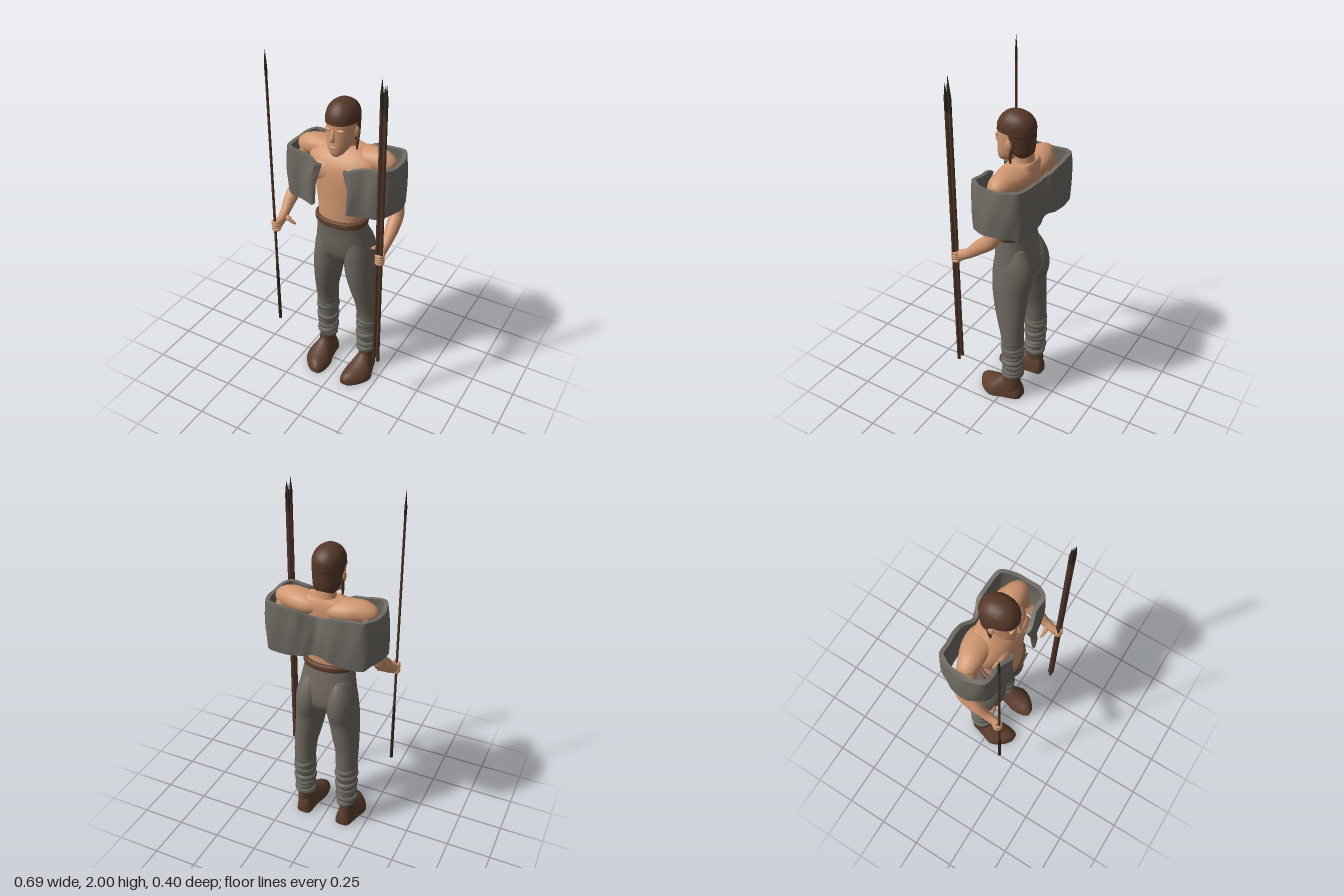
import * as THREE from 'three';
import { toCreasedNormals } from 'three/addons/utils/BufferGeometryUtils.js';

const mat = (name, color) => Object.assign(new THREE.MeshStandardMaterial({ color }), { name });

// Catmull-Rom interpolation of every column of a table of rows
function smooth(rows, k = 4) {
  const out = [];
  const at = i => rows[Math.min(Math.max(i, 0), rows.length - 1)];
  for (let i = 0; i < rows.length - 1; i++) {
    for (let j = 0; j < k; j++) {
      const t = j / k;
      out.push(at(i).map((b, n) => {
        const a = at(i - 1)[n], c = at(i + 1)[n], d = at(i + 2)[n];
        return b + 0.5 * t * (c - a + t * (2 * a - 5 * b + 4 * c - d + t * (3 * (b - c) + d - a)));
      }));
    }
  }
  out.push(rows[rows.length - 1]);
  return out;
}

// Skin a list of closed rings (arrays of Vector3) and cap both ends
function loft(rings) {
  const n = rings[0].length, pos = [], idx = [];
  rings.forEach(r => r.forEach(p => pos.push(p.x, p.y, p.z)));
  for (let i = 0; i < rings.length - 1; i++) {
    for (let j = 0; j < n; j++) {
      const a = i * n + j, b = i * n + (j + 1) % n;
      idx.push(a, b, a + n, b, b + n, a + n);
    }
  }
  [0, rings.length - 1].forEach((r, end) => {
    const c = new THREE.Vector3();
    rings[r].forEach(p => c.addScaledVector(p, 1 / n));
    const ci = pos.length / 3;
    pos.push(c.x, c.y, c.z);
    for (let j = 0; j < n; j++) {
      const a = r * n + j, b = r * n + (j + 1) % n;
      if (end) idx.push(ci, a, b); else idx.push(ci, b, a);
    }
  });
  const g = new THREE.BufferGeometry();
  g.setAttribute('position', new THREE.Float32BufferAttribute(pos, 3));
  g.setIndex(idx);
  g.computeVertexNormals();
  return g;
}

const circle = (n, f) => Array.from({ length: n }, (_, j) => {
  const a = j / n * Math.PI * 2;
  return f(Math.cos(a), Math.sin(a));
});
const soft = (v, p) => Math.sign(v) * Math.abs(v) ** p;

// Horizontal sections from the bottom up, rows of [y, half width, front z, back z]
const stack = (rows, p = 1, n = 28) => loft(smooth(rows).map(([y, w, f, b]) =>
  circle(n, (c, s) => new THREE.Vector3(w * soft(c, p), y, (f + b) / 2 - (f - b) / 2 * soft(s, p)))));

// Sections square to a path, rows of [x, y, z, radius a, radius b]
function limb(rows, n = 16) {
  const r = smooth(rows), pts = r.map(q => new THREE.Vector3(q[0], q[1], q[2]));
  return loft(r.map((q, i) => {
    const d = pts[Math.min(i + 1, r.length - 1)].clone().sub(pts[Math.max(i - 1, 0)]).normalize();
    const ref = Math.abs(d.x) > 0.8 ? new THREE.Vector3(0, 0, 1) : new THREE.Vector3(1, 0, 0);
    const v = d.clone().cross(ref).normalize(), u = v.clone().cross(d);
    return circle(n, (c, s) => pts[i].clone().addScaledVector(u, c * q[3]).addScaledVector(v, s * q[4]));
  }));
}

export function createModel() {
  const model = new THREE.Group();
  const skin = mat('skin', 0xd09670), hair = mat('hair', 0x563828), trouser = mat('trouser cloth', 0x6e675f);
  const cloak = mat('shawl cloth', 0x6e6a63), binding = mat('leg binding cloth', 0x6e6b63);
  const boot = mat('boot leather', 0x5c3e2d), belt = mat('belt leather', 0x62402d);
  const wood = mat('spear wood', 0x503528), dark = mat('spear dark', 0x31271f);
  const add = (name, geo, m, x = 0, y = 0, z = 0) => {
    const mesh = new THREE.Mesh(geo, m);
    mesh.name = name;
    mesh.position.set(x, y, z);
    model.add(mesh);
    return mesh;
  };
  const ball = (name, m, x, y, z, a, b, c) =>
    add(name, new THREE.SphereGeometry(1, 20, 14), m, x, y, z).scale.set(a, b, c);

  // Torso, neck and head
  add('torso', stack([[1.03, .13, .1, -.09], [1.1, .127, .105, -.085], [1.2, .138, .102, -.095], [1.3, .165, .1, -.115],
    [1.38, .195, .092, -.122], [1.43, .19, .068, -.122], [1.465, .15, .03, -.115], [1.487, .09, 0, -.105]], 0.9), skin);
  add('neck', stack([[1.43, .09, .03, -.12], [1.47, .064, .005, -.108], [1.5, .056, -.002, -.1], [1.56, .055, .01, -.09]]), skin);
  add('head', stack([[1.465, .018, .085, .055], [1.48, .038, .096, .01], [1.51, .057, .1, -.04], [1.55, .069, .099, -.08],
    [1.6, .076, .096, -.098], [1.65, .078, .094, -.102], [1.69, .072, .08, -.095], [1.73, .04, .045, -.05]], 0.93), skin);
  add('nose', limb([[0, 1.615, .092, .007, .006], [0, 1.57, .107, .011, .012], [0, 1.552, .097, .011, .006]], 10), skin);
  ball('lips', skin, 0, 1.52, .096, .022, .008, .008);

  // Hair cap, held behind the ears below the hairline
  const cap = stack([[1.515, .053, -.02, -.09], [1.54, .07, .02, -.1], [1.6, .08, .08, -.107], [1.637, .083, .099, -.109],
    [1.643, .083, .099, -.109], [1.68, .081, .094, -.108], [1.715, .066, .072, -.087], [1.738, .038, .042, -.052],
    [1.746, .012, .01, -.02]], 0.95, 32);
  const cp = cap.attributes.position;
  for (let i = 0; i < cp.count; i++) if (cp.getY(i) < 1.637) cp.setZ(i, Math.min(cp.getZ(i), -.005));
  cap.computeVertexNormals();
  add('hair', toCreasedNormals(cap, 0.8), hair);

  for (const s of [1, -1]) {
    const side = s > 0 ? 'left' : 'right';
    // Face details and braids
    ball(side + 'Ear', skin, s * .081, 1.585, -.004, .008, .03, .017);
    ball(side + 'Brow', skin, s * .032, 1.612, .085, .024, .009, .012);
    add(side + 'Braid', limb([[s * .077, 1.58, -.025, .007, .007], [s * .078, 1.54, -.015, .009, .009],
      [s * .076, 1.51, -.012, .008, .008], [s * .075, 1.475, -.012, .003, .003]], 8), hair);

    // Shoulders, chest and arms
    add(side + 'Shoulder', limb([[s * .02, 1.42, -.055, .055, .045], [s * .08, 1.428, -.06, .075, .055],
      [s * .14, 1.432, -.055, .076, .06], [s * .195, 1.432, -.046, .066, .061], [s * .24, 1.425, -.042, .054, .052],
      [s * .268, 1.415, -.042, .034, .034], [s * .278, 1.41, -.042, .008, .008]], 20), skin);
    ball(side + 'Chest', skin, s * .08, 1.355, .06, .085, .06, .037);
    add(side + 'Arm', limb([[s * .222, 1.43, -.045, .045, .055], [s * .25, 1.32, -.045, .047, .056],
      [s * .285, 1.21, -.047, .043, .047], [s * .302, 1.155, -.03, .039, .043], [s * .309, 1.1, .035, .035, .037],
      [s * .308, 1.05, .09, .026, .028], [s * .306, 1.025, .13, .024, .028], [s * .308, 1.008, .165, .022, .032]]), skin);
    add(side + 'Thumb', limb([[s * .305, 1.03, .108, .016, .018], [s * .27, 1.025, .117, .013, .014],
      [s * .25, 1.012, .115, .01, .01], [s * .232, 1.0, .11, .005, .005]], 10), skin);
    for (let i = 0; i < 4; i++) {
      const finger = add(side + 'Finger', new THREE.TorusGeometry(.017, .009, 8, 16), skin, s * .314, .982 + i * .015, .175);
      finger.rotation.set(Math.PI / 2, .1 * (i % 2), 0);
    }

    // Trouser legs
    add(side + 'Leg', limb([[s * .08, .98, -.01, .06, .085], [s * .086, .9, -.028, .079, .112], [s * .092, .83, -.034, .083, .119],
      [s * .1, .74, -.026, .083, .107], [s * .115, .62, -.034, .074, .093], [s * .127, .53, -.044, .065, .078],
      [s * .131, .43, -.055, .062, .066], [s * .132, .3, -.056, .057, .06], [s * .135, .15, -.056, .042, .048]], 24), trouser);

    // Wound cloth strips on the shins
    for (let i = 0; i < 8; i++) {
      const r = 1.02 + i * .011 + .06 * Math.sin(i * 2.4 + s);
      const strip = add(side + 'LegBinding', new THREE.TorusGeometry(.047, .014, 8, 22), binding, s * .132, .165 + i * .034, -.057);
      strip.rotation.set(Math.PI / 2 + .22 * Math.sin(i * 1.9 + s), .26 * Math.sin(i * 2.7 + s), 0);
      strip.scale.set(r, r * 1.04, 1.5);
    }

    // Boots: shaft, then a flat-soled foot
    add(side + 'BootShaft', stack([[.02, .045, .02, -.1], [.06, .045, .02, -.107], [.1, .043, .012, -.108], [.17, .042, -.005, -.102]])
      .translate(s * .136, 0, 0), boot);
    const foot = smooth([[-.116, .126, .024, .045], [-.1, .127, .044, .09], [-.05, .132, .054, .125], [0, .136, .065, .118],
      [.045, .136, .08, .09], [.09, .128, .075, .068], [.14, .113, .052, .05], [.168, .1, .022, .025]]);
    add(side + 'Boot', toCreasedNormals(loft(foot.map(([z, x, w, h]) => circle(24, (c, sn) =>
      new THREE.Vector3(s * x + w * c, sn > 0 ? .012 + h * sn ** 1.3 : .002 * (1 + sn), z)))), 0.9), boot);
  }

  // Seat of the trousers and belt
  add('trouserSeat', stack([[.755, .04, .01, -.06], [.79, .1, .045, -.105], [.85, .163, .077, -.135],
    [.92, .163, .09, -.13], [1, .149, .096, -.11], [1.075, .137, .107, -.092]], 0.95), trouser);
  add('belt', stack([[1.052, .138, .108, -.095], [1.057, .147, .117, -.102], [1.075, .15, .12, -.105], [1.088, .147, .117, -.102],
    [1.093, .134, .105, -.09]], 0.92), belt);
  add('beltOverlap', new THREE.BoxGeometry(.09, .016, .008), belt, .045, 1.074, .115).rotation.set(0, .1, .15);

  // Shawl: [x, z, y] of the top edge then of the bottom edge, front opening to mid back
  const half = [[.06, .112, 1.41, .09, .135, 1.19], [.1, .122, 1.42, .11, .145, 1.18], [.17, .098, 1.44, .18, .11, 1.175],
    [.25, .1, 1.45, .25, .1, 1.175], [.293, .065, 1.45, .3, .06, 1.19], [.308, 0, 1.44, .333, -.01, 1.2],
    [.308, -.08, 1.44, .325, -.08, 1.2], [.29, -.15, 1.45, .29, -.15, 1.19], [.255, -.187, 1.45, .26, -.185, 1.175],
    [.18, -.192, 1.445, .18, -.19, 1.17], [.1, -.195, 1.44, .1, -.192, 1.18], [.05, -.18, 1.42, .05, -.185, 1.19],
    [0, -.16, 1.405, 0, -.178, 1.2]];
  const path = smooth([...half, ...half.slice(0, -1).reverse().map(([a, b, c, d, e, f]) => [-a, b, c, -d, e, f])]);
  const levels = [0, .1, .3, .5, .7, .9, 1];
  const shawl = path.map((q, i) => {
    const a = path[Math.max(i - 1, 0)], b = path[Math.min(i + 1, path.length - 1)];
    const edge = Math.min(i, path.length - 1 - i) < 4 ? .03 : 0;
    const point = (v, inner) => {
      const tx = (b[0] - a[0]) * (1 - v) + (b[3] - a[3]) * v, tz = (b[1] - a[1]) * (1 - v) + (b[4] - a[4]) * v;
      const len = Math.hypot(tx, tz), bulge = Math.sin(Math.PI * v);
      const off = .008 * bulge + .0015 * Math.sin(i * 1.1 + v * 5) - (inner ? .022 : 0);
      const x = q[0] + (q[3] - q[0]) * v;
      return new THREE.Vector3(x + Math.sign(x) * edge * bulge - tz / len * off, q[2] + (q[5] - q[2]) * v,
        q[1] + (q[4] - q[1]) * v + tx / len * off);
    };
    return [...levels.map(v => point(v, false)), ...[...levels].reverse().map(v => point(v, true))];
  });
  add('shawl', toCreasedNormals(loft(shawl), 0.9), cloak);

  // Spears: one in the right hand, three in the left
  const rod = (name, m, x, z, y0, y1, r0, r1) =>
    add(name, new THREE.CylinderGeometry(r1, r0, y1 - y0, 8), m, x, (y0 + y1) / 2, z);
  rod('spearShaft', wood, -.314, .187, .7, 1.86, .0075, .0065);
  rod('spearGrip', dark, -.314, .187, .36, .73, .0095, .0085);
  rod('spearHead', dark, -.314, .187, 1.86, 1.91, .0065, .0075);
  rod('spearPoint', dark, -.314, .187, 1.91, 2, .0075, .0008);
  [[.302, .182, .32, 1.975], [.326, .182, .31, 1.95], [.311, .17, .33, 1.94]].forEach(([x, z, y0, y1]) => {
    rod('bundleShaft', wood, x, z, y0, y1 - .14, .0095, .0085);
    rod('bundleSpearHead', dark, x, z, y1 - .14, y1 - .07, .0085, .0085);
    rod('bundleSpearPoint', dark, x, z, y1 - .07, y1, .0085, .0008);
  });
  return model;
}
